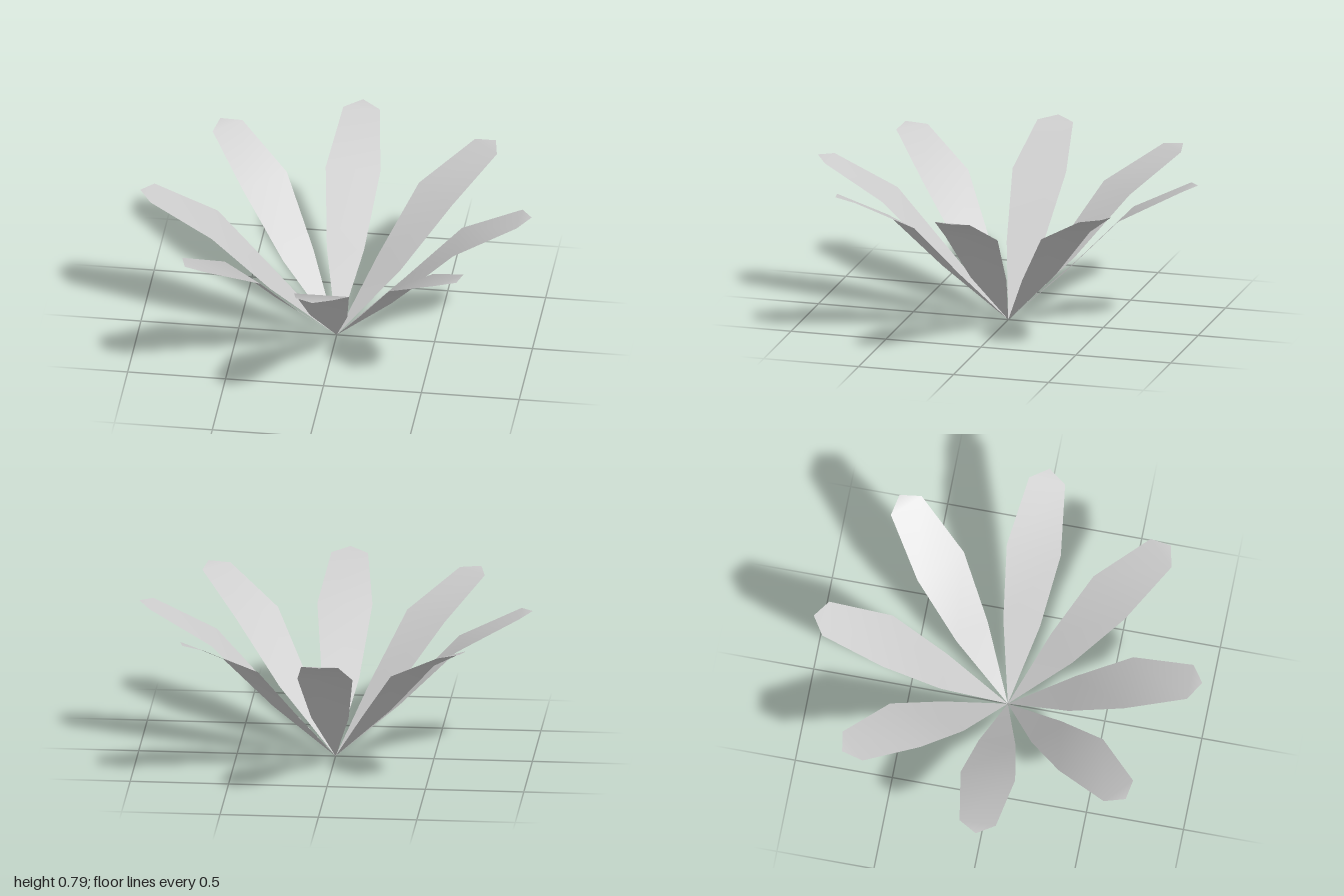
import * as THREE from 'three';

// Cross-sections of one blade: distance from the root, height, half width
const SECTIONS = [
  [0.33, 0.31, 0.095],
  [0.62, 0.61, 0.14],
  [0.938, 0.778, 0.093],
];
const TIP = [1.0, 0.793];

// Headings in degrees from +z towards +x, slightly irregular
const HEADINGS = [0.6, 45, 88.5, 134, 180, 223.8, 271.4, 317.4];

// A thin folded strip that runs out along +z from a pointed root to a blunt tip
function bladeGeometry() {
  const positions = [0, 0, 0];
  for (const [r, y, w] of SECTIONS) positions.push(-w, y, r, w, y, r);
  positions.push(0, TIP[1], TIP[0]);

  const index = [0, 1, 2];
  for (let i = 0; i < SECTIONS.length - 1; i++) {
    const a = 1 + i * 2;
    index.push(a, a + 2, a + 1, a + 1, a + 2, a + 3);
  }
  const last = SECTIONS.length * 2 - 1;
  index.push(last, last + 2, last + 1);

  const geometry = new THREE.BufferGeometry();
  geometry.setAttribute('position', new THREE.Float32BufferAttribute(positions, 3));
  geometry.setIndex(index);
  geometry.computeVertexNormals();
  return geometry;
}

export function createModel() {
  const group = new THREE.Group();
  group.name = 'leafRosette';
  const material = new THREE.MeshStandardMaterial({ color: 0xcccccc, side: THREE.DoubleSide });
  const geometry = bladeGeometry();

  // Ring of leaves sharing one root point
  HEADINGS.forEach((degrees, i) => {
    const leaf = new THREE.Mesh(geometry, material);
    leaf.name = `leaf${i + 1}`;
    leaf.rotation.y = THREE.MathUtils.degToRad(degrees);
    group.add(leaf);
  });
  return group;
}
